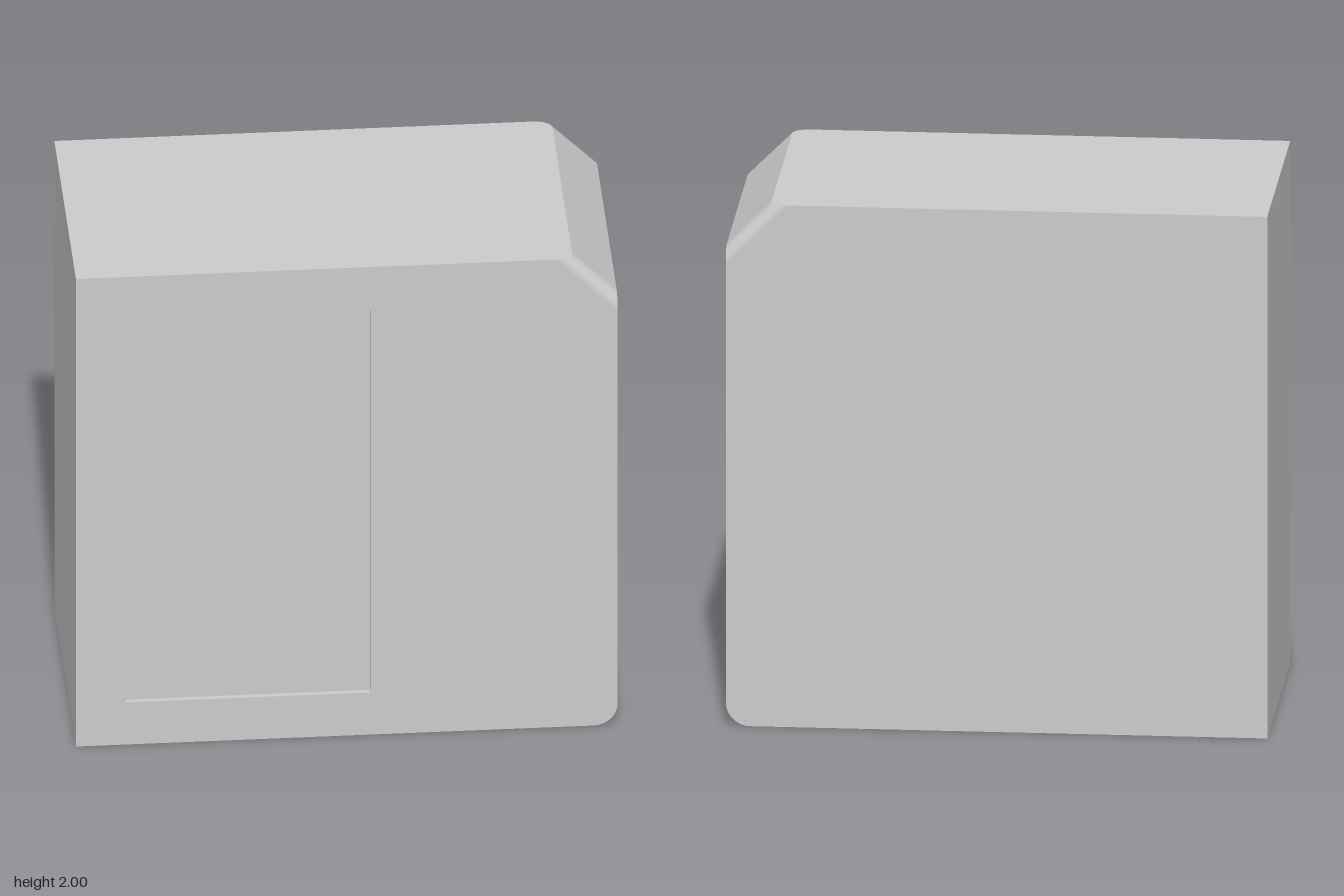
import * as THREE from 'three';

const HALF = 0.5;      // half depth
const CHAMFER = 0.165; // top corner cut
const FILLET = 0.048;  // rounding along the cut
const ROUND = 0.09;    // lower corner radius
const STEPS = 12;

// Side outline, counter-clockwise, as runs of [x, y, nx, ny]; c is the corner cut
function outlineRuns(c) {
  const arc = [];
  for (let i = 0; i <= STEPS; i++) {
    const a = -Math.PI / 2 + (i / STEPS) * Math.PI / 2;
    const nx = Math.cos(a), ny = Math.sin(a);
    arc.push([1 - ROUND + ROUND * nx, ROUND + ROUND * ny, nx, ny]);
  }
  const s = Math.SQRT1_2;
  return [
    [[-1, 0, 0, -1], ...arc, [1, 2 - c, 1, 0]],
    [[1, 2 - c, s, s], [1 - c, 2, s, s]],
    [[1 - c, 2, 0, 1], [-1, 2, 0, 1]],
    [[-1, 2, -1, 0], [-1, 0, -1, 0]],
  ];
}

// Cross-sections from back to front, rounding the cut into both faces
function sections() {
  const list = [];
  for (const side of [-1, 1]) {
    for (let i = 0; i <= STEPS; i++) {
      const t = (side < 0 ? i - STEPS : i) / STEPS * Math.PI / 2;
      list.push({
        z: side * (HALF - FILLET) + FILLET * Math.sin(t),
        c: CHAMFER + Math.SQRT2 * FILLET * (1 - Math.cos(t)),
        t,
      });
    }
  }
  return list;
}

// Joins rows of equal length; each entry is { p: position, n: normal }
function skin(rows) {
  const pos = [], nor = [], index = [], w = rows[0].length;
  rows.forEach((row, r) => row.forEach(({ p, n }, k) => {
    pos.push(...p);
    nor.push(...n);
    if (r && k) {
      const b = r * w + k, a = b - 1, d = a - w, e = b - w;
      index.push(d, e, b, d, b, a);
    }
  }));
  const geo = new THREE.BufferGeometry();
  geo.setAttribute('position', new THREE.Float32BufferAttribute(pos, 3));
  geo.setAttribute('normal', new THREE.Float32BufferAttribute(nor, 3));
  geo.setIndex(index);
  return geo;
}

// Rounded rectangle of the front recess
function recessShape() {
  const x0 = -0.82, x1 = 0.09, y0 = 0.18, y1 = 1.82, r = 0.01;
  const s = new THREE.Shape();
  s.absarc(x1 - r, y0 + r, r, -Math.PI / 2, 0);
  s.absarc(x1 - r, y1 - r, r, 0, Math.PI / 2);
  s.absarc(x0 + r, y1 - r, r, Math.PI / 2, Math.PI);
  s.absarc(x0 + r, y0 + r, r, Math.PI, Math.PI * 1.5);
  s.closePath();
  return s;
}

export function createModel() {
  const group = new THREE.Group();
  const material = new THREE.MeshStandardMaterial({ color: 0xcccccc });
  const add = (name, geo, parent = group) => {
    const mesh = new THREE.Mesh(geo, material);
    mesh.name = name;
    parent.add(mesh);
    return mesh;
  };

  // Shell around the sides
  const shell = new THREE.Group();
  shell.name = 'shell';
  group.add(shell);
  const rings = sections();
  ['bottomAndLeftSide', 'cutCorner', 'top', 'rightSide'].forEach((name, k) => {
    const rows = rings.map(({ z, c, t }) => outlineRuns(c)[k].map(([x, y, nx, ny]) => {
      const f = k === 1 ? Math.cos(t) : 1;
      return { p: [x, y, z], n: [nx * f, ny * f, k === 1 ? Math.sin(t) : 0] };
    }));
    add(name, skin(rows), shell);
  });

  // Flat front and back
  const face = (mirror) => new THREE.Shape(
    outlineRuns(rings[0].c).flatMap((run) => run.slice(0, -1))
      .map(([x, y]) => new THREE.Vector2(x * mirror, y)));
  const frontShape = face(1);
  const recess = recessShape();
  frontShape.holes.push(recess);
  add('frontFace', new THREE.ShapeGeometry(frontShape, 6)).position.z = HALF;
  const back = add('backFace', new THREE.ShapeGeometry(face(-1)));
  back.rotation.y = Math.PI;
  back.position.z = -HALF;

  // Shallow recess: floor and inward-facing walls
  const depth = 0.02;
  add('recessFloor', new THREE.ShapeGeometry(recess, 6)).position.z = HALF - depth;
  const edge = recess.getPoints(6).reverse();
  const walls = skin([HALF - depth, HALF].map((z) =>
    edge.map((v) => ({ p: [v.x, v.y, z], n: [0, 0, 1] })))).toNonIndexed();
  walls.computeVertexNormals();
  add('recessWalls', walls);

  return group;
}
